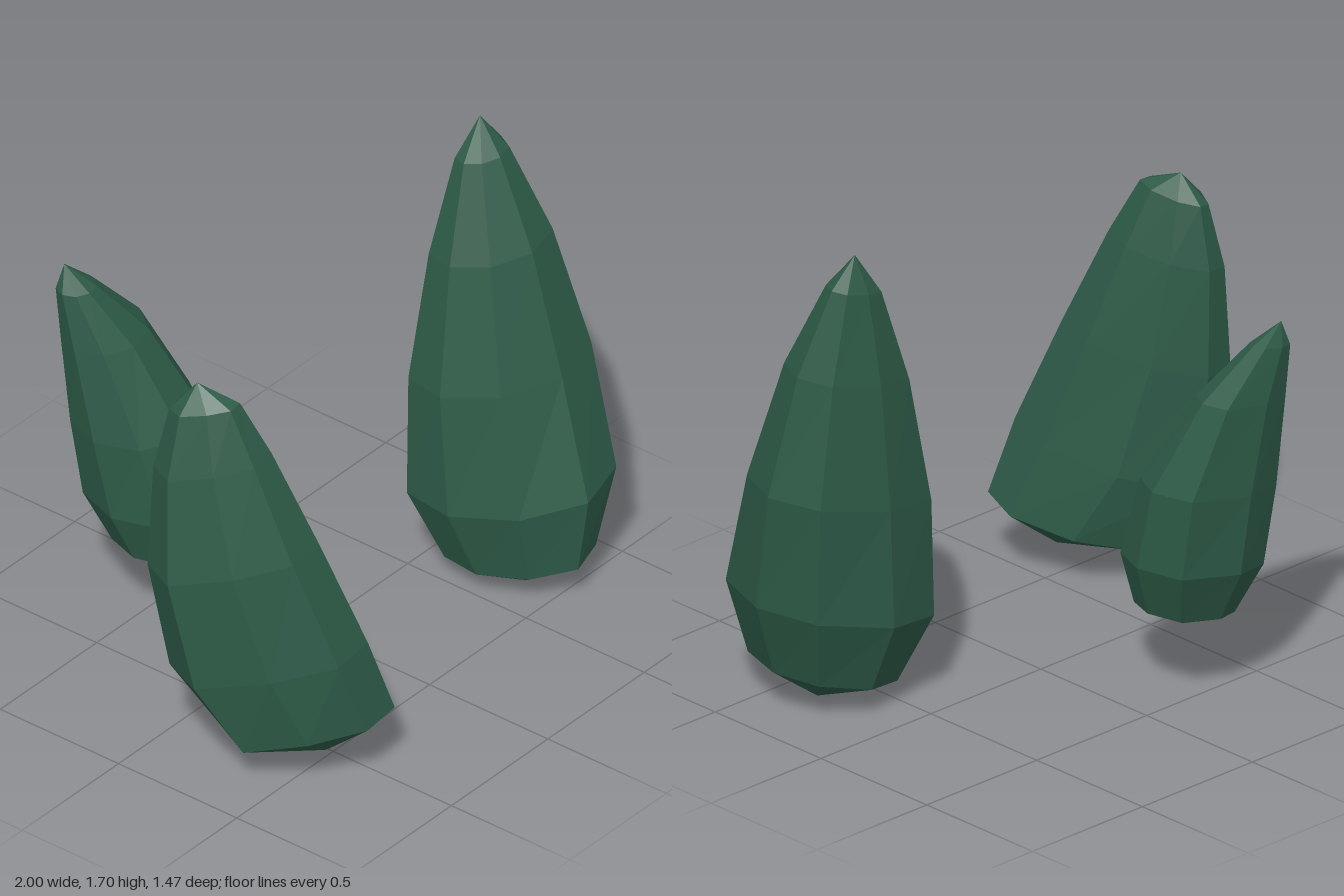
import * as THREE from 'three';

// Unit footprints: eight uneven corners (x, z) shared by all rings of a tree
const BROAD = [[1, 0.09], [0.68, 0.88], [0, 1], [-0.65, 0.52], [-1, -0.22], [-0.9, -0.87], [-0.12, -1], [0.71, -0.6]];
const OVAL = [[1, 0.35], [0.81, 0.96], [0.15, 0.98], [-0.51, 0.43], [-1, -0.33], [-0.6, -0.95], [-0.07, -1], [0.6, -0.5]];
const ROUND = [[1, 0.13], [0.6, 0.85], [-0.08, 1], [-0.71, 0.58], [-1, -0.15], [-0.8, -0.82], [-0.1, -1], [0.87, -0.69]];

// Each tree: base and tip points, and five rings as [y, xMin, xMax, zMin, zMax].
// tiltX and tiltZ slope the plane of the rings.
const TREES = [
  {
    name: 'tallCypress', footprint: BROAD, tiltX: 0.17, tiltZ: 0.04,
    base: [0.67, 0, 0.36], tip: [0.74, 1.70, 0.11],
    rings: [
      [0.115, 0.50, 0.87, 0.11, 0.57],
      [0.38, 0.42, 0.98, 0.00, 0.60],
      [0.81, 0.45, 1.00, -0.01, 0.47],
      [1.25, 0.54, 0.92, 0.02, 0.34],
      [1.57, 0.65, 0.82, 0.06, 0.20],
    ],
  },
  {
    name: 'leaningCypress', footprint: OVAL, tiltX: 0.1, tiltZ: 0.2,
    base: [-0.60, 0.08, 0.55], tip: [-0.80, 1.48, 0.17],
    rings: [
      [0.185, -0.86, -0.415, 0.25, 0.735],
      [0.44, -0.96, -0.48, 0.09, 0.68],
      [0.83, -1.00, -0.57, 0.04, 0.54],
      [1.19, -0.95, -0.66, 0.05, 0.40],
      [1.40, -0.885, -0.73, 0.09, 0.31],
    ],
  },
  {
    name: 'smallCypress', footprint: ROUND, tiltX: 0.12, tiltZ: -0.07,
    base: [-0.24, 0.23, -0.42], tip: [-0.41, 1.365, -0.71],
    rings: [
      [0.295, -0.36, -0.09, -0.60, -0.265],
      [0.48, -0.43, -0.02, -0.69, -0.235],
      [0.77, -0.455, -0.03, -0.72, -0.32],
      [1.09, -0.455, -0.16, -0.735, -0.49],
      [1.28, -0.45, -0.32, -0.735, -0.62],
    ],
  },
];

// Loft a closed faceted crown from the base point through the rings to the tip
function crownGeometry({ footprint, rings, base, tip, tiltX, tiltZ }) {
  const sides = footprint.length;
  const positions = [];
  const index = [];
  for (const [y, x0, x1, z0, z1] of rings) {
    for (const [u, v] of footprint) {
      const dx = u * (x1 - x0) / 2;
      const dz = v * (z1 - z0) / 2;
      positions.push((x0 + x1) / 2 + dx, y + tiltX * dx + tiltZ * dz, (z0 + z1) / 2 + dz);
    }
  }
  const baseId = rings.length * sides;
  const tipId = baseId + 1;
  positions.push(...base, ...tip);

  const last = (rings.length - 1) * sides;
  for (let j = 0; j < sides; j++) {
    const k = (j + 1) % sides;
    index.push(baseId, j, k);
    for (let r = 0; r < last; r += sides) {
      const a = r + j, b = r + k;
      index.push(a, a + sides, b, b, a + sides, b + sides);
    }
    index.push(last + j, tipId, last + k);
  }

  const indexed = new THREE.BufferGeometry();
  indexed.setAttribute('position', new THREE.Float32BufferAttribute(positions, 3));
  indexed.setIndex(index);
  const geometry = indexed.toNonIndexed();
  geometry.computeVertexNormals();
  return geometry;
}

export function createModel() {
  const group = new THREE.Group();
  group.name = 'cypressTrees';

  const foliage = new THREE.MeshStandardMaterial({ color: 0x2d5a47, flatShading: true });
  foliage.name = 'dark green foliage';

  for (const tree of TREES) {
    const crown = new THREE.Mesh(crownGeometry(tree), foliage);
    crown.name = tree.name;
    group.add(crown);
  }
  return group;
}
